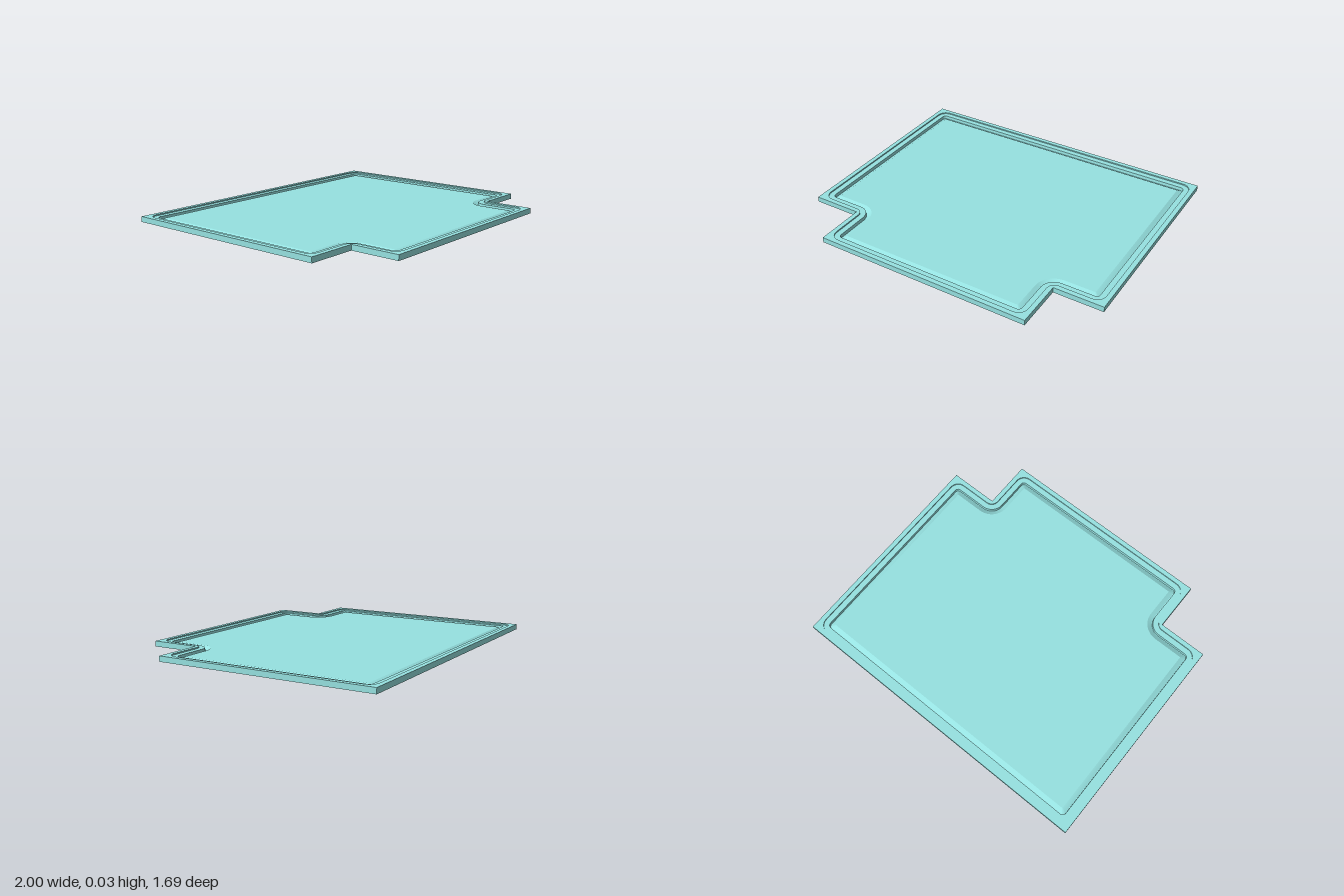
import * as THREE from 'three';
import { toCreasedNormals } from 'three/addons/utils/BufferGeometryUtils.js';

// Half of the T-shaped outline as (x, z), mirrored to the other side
const half = [[-1, -0.847], [-1, 0.535], [-0.69, 0.535], [-0.69, 0.847]];
const outline = [...half, ...half.map(([x, z]) => [-x, z]).reverse()];

// Lip section from the outer foot to the raised floor: [inset, height]
const section = [
  [0, 0], [0, 0.034], [0.03, 0.034], [0.03, 0.026], [0.066, 0.026],
  [0.068, 0.005], [0.072, 0.005], [0.1, 0.022],
];
const ARC = 8;

// Outline moved inward by an inset, with rounded corners
function ring(inset, y) {
  const n = outline.length, pts = [];
  for (let i = 0; i < n; i++) {
    const [p, v, q] = [outline[(i + n - 1) % n], outline[i], outline[(i + 1) % n]]
      .map(([x, z]) => new THREE.Vector2(x, z));
    const t1 = v.clone().sub(p).normalize(), t2 = q.clone().sub(v).normalize();
    const n1 = new THREE.Vector2(t1.y, -t1.x), n2 = new THREE.Vector2(t2.y, -t2.x);
    const sign = n2.dot(t1) < 0 ? 1 : -1; // 1 outward corner, -1 notch corner
    let r = 0;
    if (inset > 0) r = sign > 0 ? Math.max(0.09 - inset, 0.004) : inset + 0.02;
    const c = v.clone().addScaledVector(n1, inset + sign * r).addScaledVector(n2, inset + sign * r);
    for (let k = 0; k <= ARC; k++) {
      const a = (k / ARC) * Math.PI / 2;
      const d = c.clone().addScaledVector(n1, -sign * r * Math.cos(a))
        .addScaledVector(n2, -sign * r * Math.sin(a));
      pts.push(new THREE.Vector3(d.x, y, d.y));
    }
  }
  return pts;
}

// Skin between successive rings, leaving out collapsed triangles
function loft(rings) {
  const pos = [];
  const tri = (a, b, c) => {
    if (new THREE.Triangle(a, b, c).getArea() > 1e-9) {
      for (const p of [a, b, c]) pos.push(p.x, p.y, p.z);
    }
  };
  for (let i = 0; i < rings.length - 1; i++) {
    const A = rings[i], B = rings[i + 1];
    for (let j = 0; j < A.length; j++) {
      const k = (j + 1) % A.length;
      tri(A[j], A[k], B[k]);
      tri(A[j], B[k], B[j]);
    }
  }
  const g = new THREE.BufferGeometry();
  g.setAttribute('position', new THREE.Float32BufferAttribute(pos, 3));
  return toCreasedNormals(g, 0.4);
}

export function createModel() {
  const group = new THREE.Group();
  group.name = 'tray';
  const material = new THREE.MeshStandardMaterial({ color: 0x96e2e1, side: THREE.DoubleSide });
  const add = (name, geometry) => {
    const mesh = new THREE.Mesh(geometry, material);
    mesh.name = name;
    group.add(mesh);
  };

  // Stepped lip and groove, hollow underneath
  const rings = section.map(([inset, y]) => ring(inset, y));
  add('lip', loft(rings));

  // Flat floor filling the innermost ring
  const inner = rings[rings.length - 1];
  const floor = new THREE.ShapeGeometry(
    new THREE.Shape(inner.map((p) => new THREE.Vector2(p.x, -p.z))));
  floor.rotateX(-Math.PI / 2).translate(0, inner[0].y, 0);
  add('floor', floor);

  return group;
}
